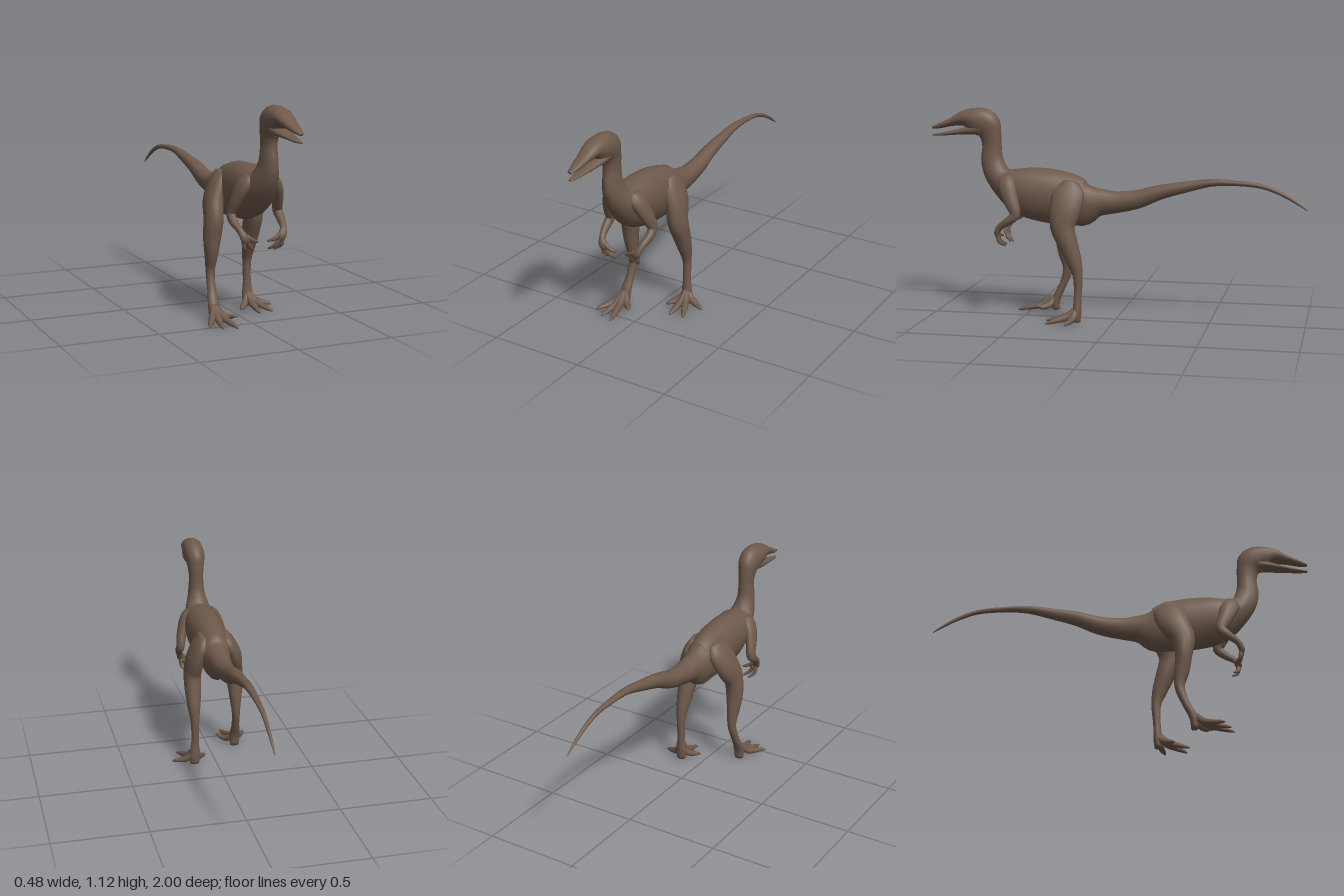
import * as THREE from 'three';

const hide = new THREE.MeshStandardMaterial({ color: 0x6e594b });
hide.name = 'brown hide';

// Smooth closed skin through sections [x, y, z, halfWidth, halfDepth].
// taper narrows the underside of each section.
function loft(name, sections, sides = 12, steps = 4, taper = 0) {
  const path = new THREE.CatmullRomCurve3(sections.map(s => new THREE.Vector3(s[0], s[1], s[2])));
  const size = new THREE.CatmullRomCurve3(sections.map(s => new THREE.Vector3(s[3], s[4], 0)));
  const rings = (sections.length - 1) * steps;
  const pos = [], index = [];
  const side = new THREE.Vector3(), n = new THREE.Vector3(), p = new THREE.Vector3();
  for (let r = -1; r <= rings + 1; r++) {
    const u = Math.min(Math.max(r / rings, 0), 1);
    const k = r < 0 || r > rings ? 0 : 1; // closed ends
    const c = path.getPoint(u), t = path.getTangent(u), s = size.getPoint(u);
    side.set(1, 0, 0).addScaledVector(t, -t.x).normalize();
    n.crossVectors(t, side);
    for (let j = 0; j < sides; j++) {
      const a = j / sides * Math.PI * 2, sn = Math.sin(a);
      p.copy(c)
        .addScaledVector(side, k * Math.cos(a) * Math.max(s.x, 0.001) * (1 + taper * sn))
        .addScaledVector(n, k * sn * Math.max(s.y, 0.001));
      pos.push(p.x, p.y, p.z);
    }
  }
  for (let i = 0; i < rings + 2; i++) {
    for (let j = 0; j < sides; j++) {
      const a = i * sides + j, b = i * sides + (j + 1) % sides;
      index.push(a, b, a + sides, b, b + sides, a + sides);
    }
  }
  const g = new THREE.BufferGeometry();
  g.setAttribute('position', new THREE.Float32BufferAttribute(pos, 3));
  g.setIndex(index);
  g.computeVertexNormals();
  const mesh = new THREE.Mesh(g, hide);
  mesh.name = name;
  return mesh;
}

// Sections on the centre line: [z, y, halfWidth, halfDepth]
const central = list => list.map(([z, y, w, h]) => [0, y, z, w, h]);

function makeBody() {
  const g = new THREE.Group();
  g.name = 'body';
  // tail, trunk, neck and upper jaw in one run
  g.add(loft('trunkNeckAndTail', central([
    [-1, 0.615, 0.002, 0.002], [-0.96, 0.642, 0.006, 0.006], [-0.88, 0.69, 0.009, 0.010],
    [-0.77, 0.733, 0.012, 0.012], [-0.63, 0.748, 0.017, 0.014], [-0.5, 0.747, 0.022, 0.020],
    [-0.37, 0.722, 0.028, 0.029], [-0.23, 0.69, 0.037, 0.039], [-0.12, 0.652, 0.043, 0.049],
    [0, 0.632, 0.05, 0.058], [0.09, 0.63, 0.06, 0.075], [0.17, 0.622, 0.075, 0.122],
    [0.26, 0.642, 0.088, 0.14], [0.36, 0.656, 0.096, 0.146], [0.46, 0.67, 0.1, 0.139],
    [0.54, 0.692, 0.096, 0.118], [0.63, 0.745, 0.07, 0.07], [0.67, 0.83, 0.046, 0.062],
    [0.672, 0.92, 0.039, 0.053], [0.68, 0.98, 0.044, 0.061], [0.705, 1.03, 0.054, 0.08],
    [0.765, 1.052, 0.056, 0.068], [0.82, 1.06, 0.05, 0.044], [0.89, 1.041, 0.036, 0.023],
    [0.955, 1.02, 0.025, 0.015], [1, 1.008, 0.012, 0.007],
  ]), 16, 4, 0.12));
  g.add(loft('lowerJaw', central([
    [0.73, 1.01, 0.046, 0.04], [0.78, 1.0, 0.046, 0.026], [0.83, 0.992, 0.04, 0.018],
    [0.9, 0.981, 0.028, 0.012], [0.96, 0.973, 0.019, 0.008], [1, 0.97, 0.009, 0.004],
  ])));
  return g;
}

function makeArm(s) {
  const g = new THREE.Group();
  g.name = s > 0 ? 'leftArm' : 'rightArm';
  const flip = list => list.map(([x, ...rest]) => [x * s, ...rest]);
  g.add(loft('armAndPalm', flip([
    [0.05, 0.755, 0.575, 0.03, 0.04], [0.082, 0.72, 0.57, 0.032, 0.05],
    [0.112, 0.64, 0.54, 0.028, 0.04], [0.126, 0.57, 0.515, 0.023, 0.029],
    [0.127, 0.535, 0.55, 0.021, 0.022], [0.116, 0.50, 0.60, 0.016, 0.017],
    [0.1, 0.465, 0.62, 0.023, 0.016], [0.085, 0.44, 0.615, 0.017, 0.011],
  ])));
  // fingers: base, knuckle, tip
  const fingers = [
    [0.09, 0.475, 0.62, 0.058, 0.452, 0.622, 0.025, 0.44, 0.608],
    [0.09, 0.455, 0.617, 0.068, 0.418, 0.612, 0.04, 0.398, 0.588],
    [0.102, 0.46, 0.617, 0.1, 0.418, 0.61, 0.075, 0.393, 0.582],
  ];
  for (const f of fingers) {
    g.add(loft('finger', flip([
      [...f.slice(0, 3), 0.012, 0.012], [...f.slice(3, 6), 0.011, 0.011], [...f.slice(6), 0.005, 0.005],
    ]), 8));
  }
  return g;
}

// heel is [x, z]; toes are tips [x, y, z]
function makeLeg(name, sections, heel, toes) {
  const g = new THREE.Group();
  g.name = name;
  g.add(loft('thighShinAndHeel', sections, 14));
  for (const [x, y, z] of toes) {
    const at = (k, h, w, d) => [heel[0] + (x - heel[0]) * k, h, heel[1] + (z - heel[1]) * k, w, d];
    g.add(loft('toe', [
      at(0.04, 0.075, 0.017, 0.018), at(0.32, 0.036, 0.019, 0.019),
      at(0.65, 0.018 + y * 0.3, 0.016, 0.014), at(0.88, 0.005 + y, 0.011, 0.009), at(1, y, 0.004, 0.004),
    ], 10));
  }
  return g;
}

export function createModel() {
  const model = new THREE.Group();
  model.name = 'dinosaur';
  model.add(makeBody(), makeArm(1), makeArm(-1));
  // trailing leg
  model.add(makeLeg('leftLeg', [
    [0.045, 0.735, 0.235, 0.035, 0.05], [0.075, 0.68, 0.24, 0.04, 0.088], [0.1, 0.6, 0.25, 0.047, 0.084],
    [0.113, 0.51, 0.262, 0.047, 0.066], [0.116, 0.42, 0.232, 0.045, 0.052], [0.118, 0.33, 0.2, 0.034, 0.041],
    [0.118, 0.25, 0.18, 0.023, 0.026], [0.118, 0.14, 0.182, 0.021, 0.02],
    [0.12, 0.06, 0.185, 0.03, 0.023], [0.12, 0.008, 0.187, 0.025, 0.019],
  ], [0.12, 0.185], [[0.236, 0.012, 0.225], [0.19, 0.006, 0.34], [0.115, 0.006, 0.35], [0.045, 0.012, 0.27]]));
  // leading leg
  model.add(makeLeg('rightLeg', [
    [-0.05, 0.735, 0.24, 0.035, 0.05], [-0.083, 0.68, 0.25, 0.042, 0.086], [-0.115, 0.6, 0.275, 0.048, 0.08],
    [-0.132, 0.51, 0.318, 0.048, 0.062], [-0.14, 0.42, 0.318, 0.046, 0.045], [-0.14, 0.33, 0.307, 0.034, 0.04],
    [-0.14, 0.24, 0.294, 0.023, 0.026], [-0.145, 0.15, 0.322, 0.022, 0.02],
    [-0.15, 0.07, 0.36, 0.03, 0.021], [-0.15, 0.008, 0.365, 0.025, 0.018],
  ], [-0.15, 0.365], [[-0.236, 0.012, 0.51], [-0.178, 0.006, 0.545], [-0.11, 0.006, 0.565], [-0.065, 0.032, 0.46]]));
  return model;
}
